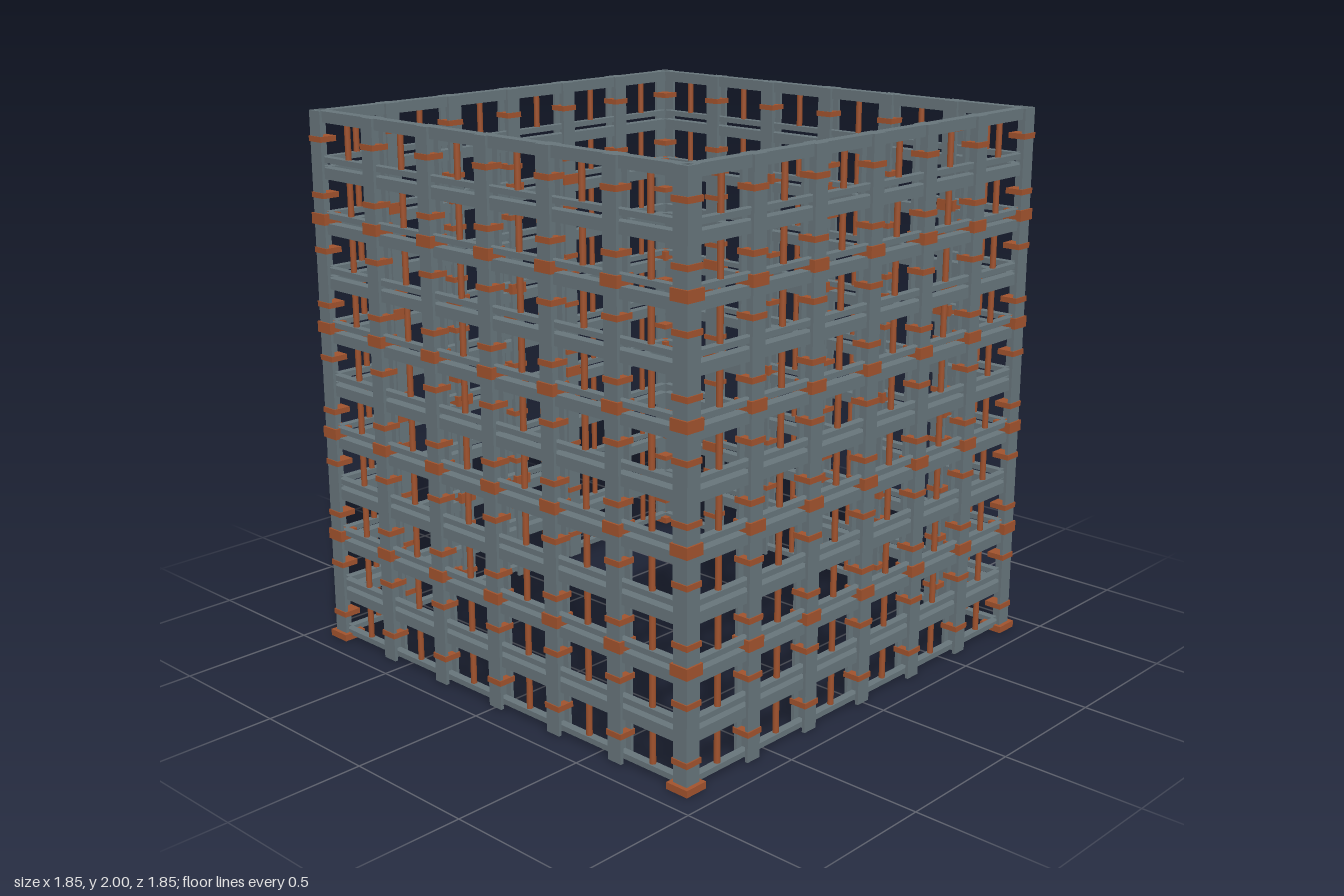
import * as THREE from 'three';
import { mergeGeometries } from 'three/addons/utils/BufferGeometryUtils.js';

const HALF = 0.88;       // wall distance from the centre
const BAY = HALF / 3;    // post spacing
const LEVEL = 0.2;       // storey height
const LEVELS = 10;

const box = (w, h, d, x, y, z) => new THREE.BoxGeometry(w, h, d).translate(x, y, z);

export function createModel() {
  const steel = new THREE.MeshStandardMaterial({ name: 'steel grey', color: 0x66747a });
  const rust = new THREE.MeshStandardMaterial({ name: 'rust', color: 0xa0522d });

  const part = (name, parts, material) => {
    const mesh = new THREE.Mesh(mergeGeometries(parts), material);
    mesh.name = name;
    return mesh;
  };

  // Clamps round an upright: a narrow one per storey, a wide one every second storey
  const clamps = (x, z) => {
    const list = [];
    for (let i = 0; i < LEVELS; i++) list.push(box(0.068, 0.02, 0.068, x, i * LEVEL + 0.1, z));
    for (let i = 1; i < 5; i++) list.push(box(0.074, 0.04, 0.074, x, i * 0.4 + 0.015, z));
    return list;
  };

  const wall = new THREE.Group();

  // I-section posts
  const posts = [], postClamps = [];
  for (let i = -2; i <= 2; i++) {
    const x = i * BAY;
    for (const s of [-1, 1]) posts.push(box(0.06, 2, 0.012, x, 1, HALF + s * 0.024));
    posts.push(box(0.012, 1.998, 0.036, x, 0.999, HALF));
    postClamps.push(...clamps(x, HALF));
  }

  // Heavy and light rails with short rods between them
  const rails = [], lightRails = [], rods = [];
  for (let i = 0; i < LEVELS; i++) {
    const y = i * LEVEL;
    rails.push(box(1.74, 0.04, 0.04, 0, y + 0.18, HALF));
    lightRails.push(box(1.74, 0.02, 0.03, 0, y + 0.027, HALF));
    for (let j = -2.5; j <= 2.5; j++) {
      rods.push(new THREE.CylinderGeometry(0.011, 0.011, 0.13, 8).translate(j * BAY, y + 0.098, HALF));
    }
  }

  // Corner angle post with its clamps and foot plate
  const corner = [
    box(0.06, 2, 0.012, HALF, 1, HALF + 0.024),
    box(0.012, 2, 0.048, HALF + 0.024, 1, HALF - 0.006),
  ];
  wall.add(
    part('posts', posts, steel),
    part('postClamps', postClamps, rust),
    part('rails', rails, steel),
    part('lightRails', lightRails, steel),
    part('rods', rods, rust),
    part('cornerPost', corner, steel),
    part('cornerClamps', clamps(HALF, HALF), rust),
    part('footPlate', [box(0.09, 0.025, 0.09, HALF, 0.0125, HALF)], rust),
  );

  // Four equal walls, each carrying one corner
  const model = new THREE.Group();
  model.name = 'latticeCage';
  ['frontWall', 'leftWall', 'backWall', 'rightWall'].forEach((name, i) => {
    const side = wall.clone();
    side.name = name;
    side.rotation.y = i * Math.PI / 2;
    model.add(side);
  });
  return model;
}
